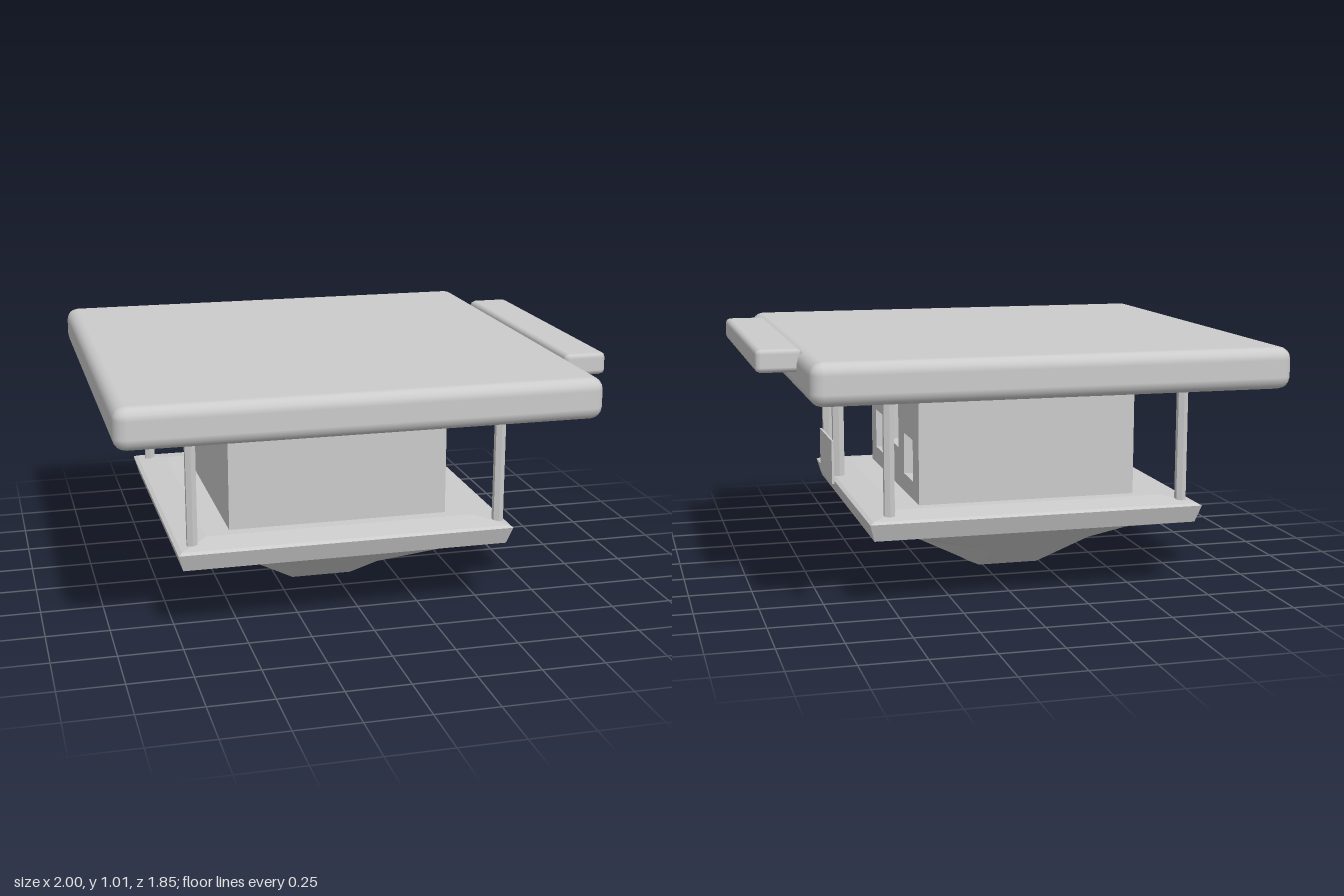
import * as THREE from 'three';
import { RoundedBoxGeometry } from 'three/addons/geometries/RoundedBoxGeometry.js';

const CX = -0.0775; // middle of the building in x

export function createModel() {
  const model = new THREE.Group();
  const flat = new THREE.MeshStandardMaterial({ color: 0xcccccc, flatShading: true, side: THREE.DoubleSide });
  const smooth = new THREE.MeshStandardMaterial({ color: 0xcccccc });

  function add(name, geometry, x, y, z, material = flat) {
    const mesh = new THREE.Mesh(geometry, material);
    mesh.name = name;
    mesh.position.set(x, y, z);
    model.add(mesh);
    return mesh;
  }

  // Thick roof slab with softened edges, and the bar along its side
  add('roof', new RoundedBoxGeometry(1.845, 0.163, 1.85, 2, 0.048), CX, 0.92, 0, smooth);
  add('roofSideBar', new RoundedBoxGeometry(0.175, 0.09, 1.15, 1, 0.02), 0.91, 0.968, -0.003, smooth);

  // Solid rear of the room
  const wallDepth = 0.25;
  const left = -0.52, right = 0.365, bottom = 0.35, top = 0.845, half = 0.49;
  const rearWidth = right - wallDepth - left;
  add('room', new THREE.BoxGeometry(rearWidth, top - bottom, half * 2), left + rearWidth / 2, (top + bottom) / 2, 0);

  // Entrance wall: open notch under the roof and two square windows
  const wall = new THREE.Shape();
  [[-half, bottom], [half, bottom], [half, top], [0.1, top], [0.1, 0.53], [-0.1, 0.53], [-0.1, top], [-half, top]]
    .forEach(([x, y], i) => (i ? wall.lineTo(x, y) : wall.moveTo(x, y)));
  wall.closePath();
  for (const c of [-0.305, 0.295]) {
    const hole = new THREE.Path();
    hole.moveTo(c - 0.085, 0.442);
    hole.lineTo(c - 0.085, 0.61);
    hole.lineTo(c + 0.085, 0.61);
    hole.lineTo(c + 0.085, 0.442);
    hole.closePath();
    wall.holes.push(hole);
  }
  const wallGeometry = new THREE.ExtrudeGeometry(wall, { depth: wallDepth, bevelEnabled: false });
  add('entranceWall', wallGeometry, right - wallDepth, 0, 0).rotation.y = Math.PI / 2;

  // Deck: stacked rectangles, closed at the top
  const rings = [[0.65, 0.645, 0.275], [0.67, 0.67, 0.345], [0.655, 0.655, 0.353], [0.54, 0.54, 0.37]];
  const corners = [[-1, 1], [1, 1], [1, -1], [-1, -1]];
  const deckPoints = [], deckFaces = [];
  for (const [w, d, y] of rings) for (const [sx, sz] of corners) deckPoints.push(sx * w, y, sz * d);
  for (let r = 0; r < rings.length - 1; r++) {
    for (let i = 0; i < 4; i++) {
      const a = r * 4 + i, b = r * 4 + (i + 1) % 4;
      deckFaces.push(a, b, b + 4, a, b + 4, a + 4);
    }
  }
  const last = (rings.length - 1) * 4;
  deckFaces.push(last, last + 1, last + 2, last, last + 2, last + 3);
  add('deck', indexed(deckPoints, deckFaces), CX, 0, 0);

  // Faceted underside: a coarse grid sagging to its lowest point in the middle
  const across = [[-0.65, 0], [-0.37, 0.5], [-0.125, 1], [0.125, 1], [0.37, 0.5], [0.65, 0]];
  const along = [[-0.645, 0], [-0.4, 0.48], [-0.2, 0.88], [0, 1], [0.2, 0.88], [0.4, 0.48], [0.645, 0]];
  const basePoints = [], baseFaces = [];
  for (const [x, sagX] of across) for (const [z, sagZ] of along) basePoints.push(x, 0.275 - 0.275 * sagX * sagZ, z);
  for (let i = 0; i < across.length - 1; i++) {
    for (let j = 0; j < along.length - 1; j++) {
      const a = i * along.length + j, b = a + along.length;
      baseFaces.push(a, b, b + 1, a, b + 1, a + 1);
    }
  }
  add('underside', indexed(basePoints, baseFaces), CX, 0, 0);

  // Corner posts between deck and roof
  const post = new THREE.CylinderGeometry(0.023, 0.023, 0.5, 6);
  for (const [x, z] of [[-0.683, 0.59], [-0.683, -0.595], [0.553, 0.59], [0.505, -0.595]]) {
    const foot = Math.abs(x) > 0.5 ? 0.345 : 0.36;
    add('post', post, x, foot + 0.25, z);
  }

  // Small board on two hangers below the roof
  const hanger = new THREE.CylinderGeometry(0.023, 0.023, 0.28, 6);
  for (const z of [-0.55, -0.778]) add('boardHanger', hanger, 0.727, 0.71, z);
  add('hangingBoard', new THREE.BoxGeometry(0.008, 0.16, 0.275), 0.75, 0.62, -0.655);

  return model;
}

// Geometry from points and triangles
function indexed(points, faces) {
  const geometry = new THREE.BufferGeometry();
  geometry.setAttribute('position', new THREE.Float32BufferAttribute(points, 3));
  geometry.setIndex(faces);
  const open = geometry.toNonIndexed();
  open.computeVertexNormals();
  return open;
}
